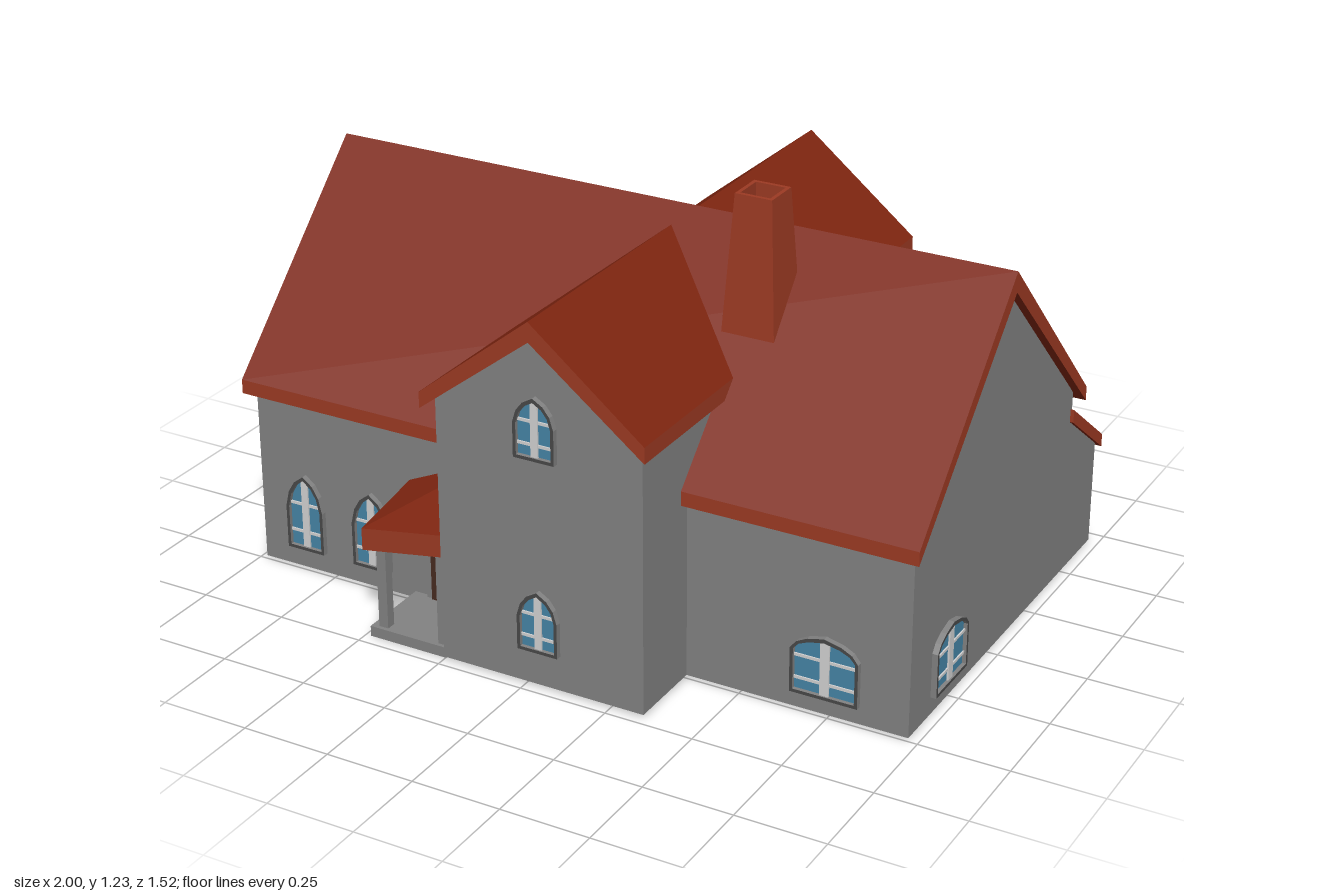
import * as THREE from 'three';

const mat = (name, color, side = THREE.FrontSide) => {
  const m = new THREE.MeshStandardMaterial({ color, side });
  m.name = name;
  return m;
};

export function createModel() {
  const D = THREE.DoubleSide;
  const wall = mat('stone wall', 0x828282, D);
  const tile = mat('roof tile', 0x7e2510, D);
  const trim = mat('roof trim and brick', 0x9c3a23, D);
  const frameMat = mat('window frame', 0x484848);
  const glass = mat('glass', 0x4584a6);
  const bar = mat('window bar', 0xd2d2d2);
  const wood = mat('door wood', 0x472a20);
  const soot = mat('soot', 0x4c4440);

  const house = new THREE.Group();
  house.name = 'house';

  const add = (name, geo, material, parent = house, x = 0, y = 0, z = 0, ry = 0) => {
    const m = new THREE.Mesh(geo, material);
    m.name = name;
    m.position.set(x, y, z);
    m.rotation.y = ry;
    parent.add(m);
    return m;
  };
  const poly = pts => new THREE.Shape(pts.map(p => new THREE.Vector2(...p)));
  const panel = (name, pts, x, z, ry) =>
    add(name, new THREE.ShapeGeometry(poly(pts)), wall, house, x, 0, z, ry);
  const box = (name, w, h, d, material, x, y, z, parent = house) =>
    add(name, new THREE.BoxGeometry(w, h, d), material, parent, x, y, z);

  // Roof slab: tiles on the sloping faces, trim on gable ends and eaves
  const roof = (name, pts, from, to, x, ry) => {
    const g = new THREE.ExtrudeGeometry(poly(pts), { depth: to - from, bevelEnabled: false });
    g.translate(0, 0, from);
    g.clearGroups();
    const n = g.attributes.normal;
    for (let i = 0; i < n.count; i += 3) {
      g.addGroup(i, 3, Math.abs(n.getY(i)) > 0.3 ? 0 : 1);
    }
    return add(name, g, [tile, trim], house, x, 0, 0, ry);
  };
  const chevron = (half, ridge, eave, ridgeLow, eaveLow) => [
    [0, ridge], [-half, eave], [-half, eaveLow], [0, ridgeLow], [half, eaveLow], [half, eave],
  ];
  const gable = (half, eave, apex) => [[-half, 0.01], [half, 0.01], [half, eave], [0, apex], [-half, eave]];
  const rect = (x0, x1, y0, y1) => [[x0, y0], [x1, y0], [x1, y1], [x0, y1]];
  const Q = Math.PI / 2;

  // Main hall
  for (const x of [-0.977, 0.975]) panel('hallGable', gable(0.5, 0.546, 1.04), x, 0, Q);
  for (const z of [-0.5, 0.5]) panel('hallWall', rect(-0.977, 0.975, 0.01, 0.546), 0, z, 0);
  roof('hallRoof', chevron(0.533, 1.087, 0.555, 1.03, 0.515), -1, 1, 0, Q);

  // Cross wing, front and back
  for (const s of [-1, 1]) {
    panel('wingGable', gable(0.298, 0.753, 0.99), 0.05, s * 0.725, 0);
    for (const x of [-0.248, 0.348]) {
      panel('wingWall', rect(-0.218, 0.218, 0.01, 0.753), x, s * 0.507, Q);
    }
  }
  roof('wingRoof', chevron(0.323, 1.04, 0.78, 0.985, 0.735), -0.765, 0.76, 0.05, 0);

  // Lean-to at the back
  panel('leanToWall', rect(0.348, 0.975, 0.01, 0.315), 0, -0.695, 0);
  panel('leanToSide', [[0.5, 0.01], [0.695, 0.01], [0.695, 0.315], [0.5, 0.46]], 0.975, 0, Q);
  roof('leanToRoof', [[0.49, 0.5], [0.49, 0.462], [0.72, 0.293], [0.72, 0.33]], 0.348, 0.985, 0, Q);

  // Pointed-arch windows
  const arch = (w, h, spring, inset) => {
    const a = w / 2 - inset, t = h - inset * 1.3, s = h * spring;
    return [[-a, inset], [a, inset], [a, s], [a * 0.82, s + (t - s) * 0.45],
      [a * 0.5, s + (t - s) * 0.77], [0, t], [-a * 0.5, s + (t - s) * 0.77],
      [-a * 0.82, s + (t - s) * 0.45], [-a, s]];
  };
  const addWindow = (x, y, z, ry, w, h) => {
    const g = new THREE.Group();
    g.name = 'window';
    g.position.set(x, y, z);
    g.rotation.y = ry;
    house.add(g);
    const spring = w / h > 0.8 ? 0.72 : 0.56;
    const outline = poly(arch(w, h, spring, 0));
    outline.holes.push(poly(arch(w, h, spring, 0.009)));
    const frame = new THREE.ExtrudeGeometry(outline, { depth: 0.028, bevelEnabled: false });
    add('windowFrame', frame, [frameMat, wall], g, 0, 0, -0.012);
    add('windowGlass', new THREE.ShapeGeometry(poly(arch(w, h, spring, 0.008))), glass, g, 0, 0, 0.005);
    box('uprightBar', w > 0.15 ? 0.026 : 0.021, h * 0.9, 0.005, bar, 0, h * 0.495, 0.009, g);
    for (const f of [0.24, 0.61]) box('crossBar', w - 0.018, 0.008, 0.004, bar, 0, h * f, 0.008, g);
  };
  [
    // front
    [-0.83, 0.07, 0.5, 0, 0.118, 0.225], [-0.615, 0.07, 0.5, 0, 0.118, 0.225],
    [0.745, 0.06, 0.5, 0, 0.19, 0.175],
    [0.047, 0.11, 0.725, 0, 0.118, 0.175], [0.047, 0.655, 0.725, 0, 0.118, 0.172],
    // left end
    [0.975, 0.06, 0.277, Q, 0.19, 0.175],
    // back
    [-0.85, 0.07, -0.5, Math.PI, 0.118, 0.225], [-0.475, 0.07, -0.5, Math.PI, 0.118, 0.225],
    [0.05, 0.615, -0.725, Math.PI, 0.118, 0.21],
    [0.83, 0.085, -0.695, Math.PI, 0.15, 0.17], [0.61, 0.012, -0.695, Math.PI, 0.15, 0.245],
    // right end
    [-0.977, 0.07, -0.32, -Q, 0.118, 0.23], [-0.977, 0.012, 0, -Q, 0.16, 0.29],
    [-0.977, 0.07, 0.32, -Q, 0.118, 0.23],
  ].forEach(w => addWindow(...w));

  // Tapered square chimney with a hollow top
  const chimney = new THREE.LatheGeometry(
    [[0.113, 0.78], [0.074, 1.233], [0.059, 1.233], [0.059, 1.12]].map(
      ([r, y]) => new THREE.Vector2(r, y)), 4).toNonIndexed();
  chimney.computeVertexNormals();
  add('chimney', chimney, trim, house, 0.37, 0, 0.152, Math.PI / 4);
  box('flue', 0.084, 0.005, 0.084, soot, 0.37, 1.13, 0.152);

  // Porch: step, posts, door and twisted lean-to roof
  box('porchStep', 0.235, 0.03, 0.22, wall, -0.367, 0.015, 0.605);
  for (const x of [-0.45, -0.265]) box('porchPost', 0.028, 0.29, 0.028, wall, x, 0.165, 0.69);
  box('doorFrame', 0.18, 0.29, 0.012, wall, -0.35, 0.165, 0.505);
  box('door', 0.138, 0.265, 0.008, wood, -0.352, 0.163, 0.513);
  const A = [-0.49, 0.325, 0.728], B = [-0.248, 0.365, 0.725];
  const C = [-0.248, 0.475, 0.5], E = [-0.49, 0.365, 0.5];
  const low = p => [p[0], p[1] - 0.063, p[2]];
  const faces = (name, list, material) => {
    const g = new THREE.BufferGeometry();
    g.setAttribute('position', new THREE.Float32BufferAttribute(list.flat(2), 3));
    g.computeVertexNormals();
    add(name, g, material);
  };
  const quad = (a, b, c, d) => [a, b, c, a, c, d];
  faces('porchRoof', [A, B, C, A, C, E], tile);
  faces('porchFascia', [...quad(low(A), low(B), B, A), ...quad(low(E), low(A), A, E)], trim);
  faces('porchCeiling', [low(A), low(C), low(B), low(A), low(E), low(C)], tile);

  return house;
}
